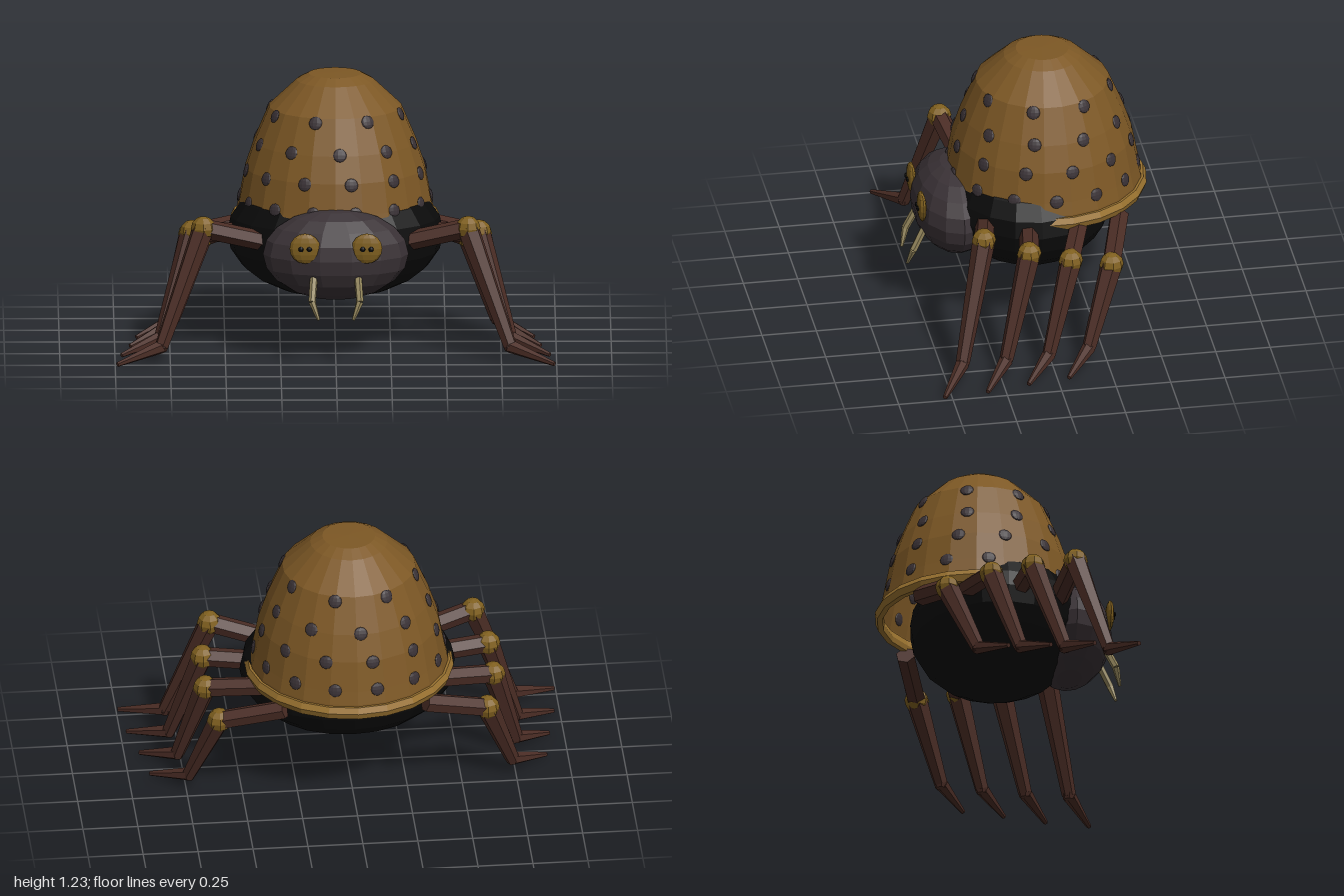
import * as THREE from 'three';

const mat = (name, color) => {
  const m = new THREE.MeshStandardMaterial({ color, flatShading: true });
  m.name = name;
  return m;
};
const V = (x, y, z) => new THREE.Vector3(x, y, z);

export function createModel() {
  const model = new THREE.Group();
  model.name = 'thimbleSpider';
  const brass = mat('brass', 0x7d5825);
  brass.side = THREE.DoubleSide;
  const paleBrass = mat('paleBrass', 0x98712f);
  const gold = mat('gold', 0x80601f);
  const black = mat('black', 0x0a0a0a);
  const charcoal = mat('charcoal', 0x3a3236);
  const brown = mat('brown', 0x4b2d25);
  const bone = mat('bone', 0x94865c);

  const add = (name, geo, material, parent = model) => {
    const m = new THREE.Mesh(geo, material);
    m.name = name;
    parent.add(m);
    return m;
  };
  const ellipsoid = (name, material, pos, r, w, h, parent) => {
    const m = add(name, new THREE.SphereGeometry(1, w, h), material, parent);
    m.position.copy(pos);
    m.scale.set(...r);
    return m;
  };
  // tapered rod between two points
  const rod = (name, material, a, b, ra, rb, sides, parent) => {
    const d = b.clone().sub(a);
    const m = add(name, new THREE.CylinderGeometry(rb, ra, d.length(), sides), material, parent);
    m.position.copy(a).add(b).multiplyScalar(0.5);
    m.quaternion.setFromUnitVectors(V(0, 1, 0), d.normalize());
    return m;
  };

  // body and head
  ellipsoid('abdomen', black, V(0, 0.51, 0), [0.49, 0.295, 0.395], 20, 12);
  ellipsoid('head', charcoal, V(0, 0.48, 0.33), [0.33, 0.21, 0.19], 14, 10);

  // thimble shell
  const thimble = new THREE.Group();
  thimble.name = 'thimble';
  thimble.position.z = -0.08;
  model.add(thimble);
  const profile = [
    [0.455, 0.56], [0.45, 0.6], [0.437, 0.66], [0.41, 0.8], [0.37, 0.92],
    [0.302, 1.08], [0.175, 1.2], [0.12, 1.23], [0, 1.232],
  ].map(p => new THREE.Vector2(...p));
  add('thimbleShell', new THREE.LatheGeometry(profile, 22), brass, thimble);
  const rim = [
    [0.435, 0.56], [0.44, 0.535], [0.465, 0.535], [0.476, 0.565], [0.462, 0.592], [0.445, 0.592], [0.435, 0.56],
  ].map(p => new THREE.Vector2(...p));
  add('thimbleRim', new THREE.LatheGeometry(rim, 22), paleBrass, thimble);

  // rows of dimples: height, shell radius, count, first angle, outward tilt
  const rows = [
    [1.06, 0.31, 8, 28, 0.4], [0.925, 0.367, 10, 3, 0.36],
    [0.795, 0.41, 12, 10, 0.25], [0.665, 0.434, 14, 12, 0.19],
  ];
  for (const [y, r, count, start, tilt] of rows) {
    for (let i = 0; i < count; i++) {
      const a = THREE.MathUtils.degToRad(start) + (i * 2 * Math.PI) / count;
      const d = ellipsoid('dimple', charcoal, V(r * Math.sin(a), y, r * Math.cos(a)), [0.031, 0.031, 0.009], 10, 6, thimble);
      d.rotation.set(-tilt, a, 0, 'YXZ');
    }
  }

  // legs: hip, knee, ankle and toe on the left side
  const legs = [
    [V(0.33, 0.52, 0.24), V(0.6, 0.59, 0.29), V(0.79, 0.07, 0.42), V(0.99, 0.012, 0.535)],
    [V(0.4, 0.52, 0.05), V(0.65, 0.53, 0.09), V(0.79, 0.07, 0.22), V(0.97, 0.012, 0.335)],
    [V(0.4, 0.52, -0.18), V(0.655, 0.48, -0.1), V(0.77, 0.07, 0.02), V(0.93, 0.012, 0.14)],
    [V(0.32, 0.51, -0.38), V(0.61, 0.42, -0.295), V(0.735, 0.07, -0.17), V(0.9, 0.012, -0.05)],
  ];
  for (const s of [1, -1]) {
    const side = s > 0 ? 'left' : 'right';
    const at = p => V(p.x * s, p.y, p.z);
    legs.forEach((pts, i) => {
      const leg = new THREE.Group();
      leg.name = `${side}Leg${i + 1}`;
      model.add(leg);
      const [hip, knee, ankle, toe] = pts.map(at);
      rod('upperLeg', brown, hip, knee, 0.045, 0.045, 6, leg);
      ellipsoid('knee', gold, knee, [0.056, 0.056, 0.056], 8, 6, leg);
      rod('lowerLeg', brown, knee, ankle, 0.052, 0.032, 6, leg);
      ellipsoid('ankle', brown, ankle, [0.032, 0.032, 0.032], 6, 4, leg);
      rod('foot', brown, ankle, toe, 0.032, 0.011, 6, leg);
    });

    // eye with two pupils
    ellipsoid(`${side}Eye`, gold, V(0.14 * s, 0.54, 0.498), [0.07, 0.07, 0.02], 10, 8);
    for (const dx of [-0.019, 0.019]) {
      ellipsoid(`${side}Pupil`, black, V(0.14 * s + dx, 0.54, 0.518), [0.012, 0.012, 0.008], 8, 6);
    }

    // two-piece fang
    const bend = V(0.108 * s, 0.3, 0.53);
    rod(`${side}FangBase`, bone, V(0.1 * s, 0.4, 0.48), bend, 0.018, 0.017, 6);
    rod(`${side}FangTip`, bone, bend, V(0.078 * s, 0.22, 0.552), 0.017, 0.007, 6);
  }
  return model;
}
